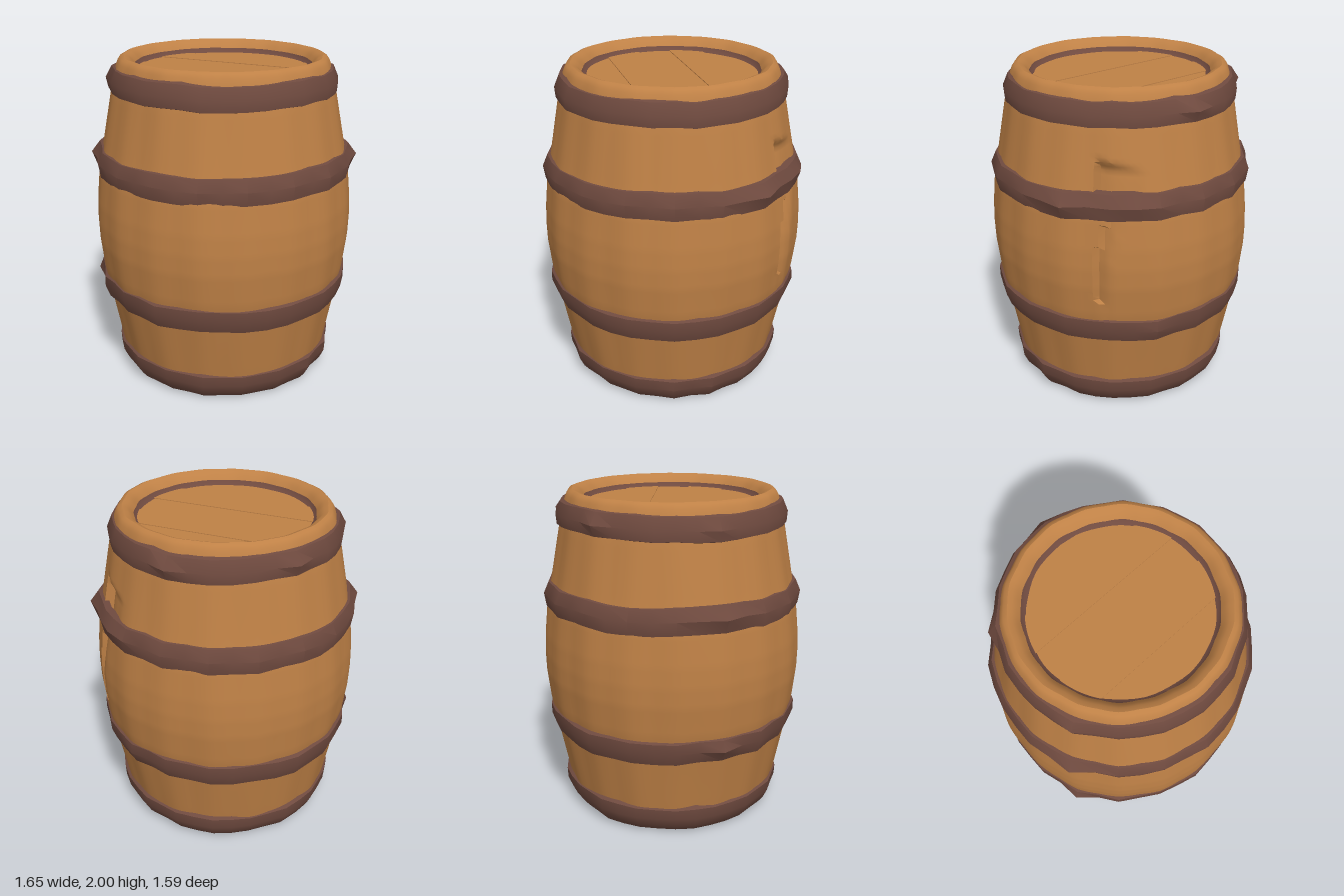
import * as THREE from 'three';
import { mergeVertices, toCreasedNormals } from 'three/addons/utils/BufferGeometryUtils.js';

const SIDES = 18;
const TAU = Math.PI * 2;

function makeRandom(seed) {
  return () => {
    seed = (seed * 16807) % 2147483647;
    return seed / 2147483647;
  };
}

// Insert extra points so a profile can be bent and dented smoothly
function subdivide(profile, step) {
  const pts = [];
  for (let i = 0; i < profile.length - 1; i++) {
    const a = new THREE.Vector2(...profile[i]);
    const b = new THREE.Vector2(...profile[i + 1]);
    const n = Math.max(1, Math.ceil(a.distanceTo(b) / step));
    for (let k = 0; k < n; k++) pts.push(a.clone().lerp(b, k / n));
  }
  pts.push(new THREE.Vector2(...profile[profile.length - 1]));
  return pts;
}

// Revolve a profile, reshape it with rule(phi, y, r) -> [r, y], then shade smoothly
function turned(points, segments, rule, crease = 0.7) {
  let g = new THREE.LatheGeometry(points, segments);
  const p = g.attributes.position;
  for (let i = 0; i < p.count; i++) {
    const phi = (Math.floor(i / points.length) % segments) / segments * TAU;
    const pt = points[i % points.length];
    const [r, y] = rule(phi, pt.y, pt.x);
    p.setXYZ(i, r * Math.sin(phi), y, r * Math.cos(phi));
  }
  g.deleteAttribute('uv');
  g.deleteAttribute('normal');
  g = mergeVertices(g, 1e-5);
  return toCreasedNormals(g, crease);
}

// Slightly flattened sides, like a ring of staves
function facet(phi) {
  const half = Math.PI / SIDES;
  const local = ((phi + half) % (2 * half)) - half;
  return 1 - 0.011 * (1 - Math.abs(local) / half);
}

// Depth of the split stave on the +x side
function splitDepth(phi, y) {
  const a = phi - Math.PI / 2;
  const wedge = (start, width, depth) => {
    const t = (a - start) / width;
    return t < 0 || t > 1 ? 0 : depth * (1 - t);
  };
  if (y > 1.4 && y < 1.63) {
    const k = Math.min(1, (1.63 - y) / 0.06);
    return wedge(0.25 + 0.1 * Math.abs(y - 1.5), 0.32 * k + 0.02, 0.055 * k);
  }
  if (y > 0.66 && y < 1.34) {
    const k = Math.min(1, (y - 0.66) / 0.4);
    const start = y > 1.05 ? 0.24 + (y - 1.05) * 0.3 : 0.24 + (1.05 - y) * 0.08;
    return wedge(start, 0.04 + 0.07 * k, 0.015 + 0.03 * k);
  }
  return 0;
}

export function createModel() {
  const wood = new THREE.MeshStandardMaterial({ color: 0xbf8146 });
  wood.name = 'warm wood';
  const band = new THREE.MeshStandardMaterial({ color: 0x6f4a3f });
  band.name = 'dark band';

  const barrel = new THREE.Group();
  barrel.name = 'barrel';
  const add = (name, geometry, material) => {
    const mesh = new THREE.Mesh(geometry, material);
    mesh.name = name;
    barrel.add(mesh);
    return mesh;
  };

  // Bulging stave body with the rounded top lip
  const bodyProfile = subdivide([
    [0.665, 0.12], [0.685, 0.22], [0.735, 0.48], [0.777, 0.7], [0.797, 0.88], [0.8, 1],
    [0.795, 1.12], [0.777, 1.3], [0.742, 1.48], [0.686, 1.78], [0.655, 1.92],
  ], 0.03).concat([
    [0.638, 1.965], [0.622, 1.988], [0.6, 1.997], [0.575, 1.988], [0.552, 1.968], [0.535, 1.945],
  ].map(([r, y]) => new THREE.Vector2(r, y)));
  add('staveBody', turned(bodyProfile, 144, (phi, y, r) => {
    const wave = 0.004 * Math.sin(phi * 5 + y * 3) * Math.sin(phi * 3 + 1);
    return [r * facet(phi) + wave - splitDepth(phi, y), y];
  }), wood);

  // Dented hoops: profile rows, then bumps as [angle, outward push]
  const hoops = [
    ['lowerHoop', [[0.72, 0.505], [0.755, 0.515], [0.783, 0.59], [0.783, 0.655], [0.755, 0.672]],
      [[-Math.PI / 2, 0.035], [2.3, 0.012]]],
    ['upperHoop', [[0.755, 1.292], [0.78, 1.3], [0.793, 1.38], [0.762, 1.45], [0.725, 1.458]],
      [[Math.PI / 2, 0.03], [-Math.PI / 2, 0.03], [2.09, 0.02]]],
    ['topHoop', [[0.67, 1.79], [0.693, 1.798], [0.698, 1.86], [0.668, 1.93], [0.635, 1.942]],
      [[2.62, 0.03], [-2.62, 0.025], [-1.57, 0.012]]],
  ];
  hoops.forEach(([name, profile, bumps], h) => {
    const random = makeRandom(101 + h * 37);
    const dents = Array.from({ length: 36 }, () => [(random() - 0.5) * 0.014, (random() - 0.5) * 0.014]);
    const last = profile.length - 1;
    const points = profile.map(([r, y]) => new THREE.Vector2(r, y));
    add(name, turned(points, 36, (phi, y, r) => {
      const [dr, dy] = dents[Math.round(phi / TAU * 36) % 36];
      let push = 0;
      for (const [angle, amount] of bumps) {
        const d = Math.abs(Math.atan2(Math.sin(phi - angle), Math.cos(phi - angle)));
        push += amount * Math.max(0, 1 - d / 0.2);
      }
      const middle = y === profile[2][1] ? 1 : 0.25;
      const edge = y === profile[0][1] || y === profile[last][1];
      return [r * facet(phi) + dr + (edge ? 0 : push * middle), y + dy];
    }, 0.6), band);
  });

  // Bottom hoop wraps under the barrel and covers the recessed base
  const baseRandom = makeRandom(511);
  const baseDents = Array.from({ length: 36 }, () => (baseRandom() - 0.5) * 0.016);
  const basePoints = [
    [0, 0.05], [0.5, 0.05], [0.53, 0.035], [0.565, 0.008], [0.6, 0], [0.632, 0.012],
    [0.662, 0.05], [0.69, 0.11], [0.694, 0.175], [0.668, 0.192],
  ].map(([r, y]) => new THREE.Vector2(r, y));
  add('bottomHoopAndBase', turned(basePoints, 36, (phi, y, r) => {
    const dent = baseDents[Math.round(phi / TAU * 36) % 36];
    return [r > 0.62 ? r * facet(phi) + dent : r, y > 0.17 ? y + dent * 0.5 : y];
  }, 0.6), band);

  // Dark inner ring where the lid meets the lip
  const ringPoints = [[0.54, 1.948], [0.526, 1.925], [0.505, 1.916]].map(([r, y]) => new THREE.Vector2(r, y));
  add('lidRing', turned(ringPoints, 72, (phi, y, r) =>
    [r + (r < 0.51 ? 0.006 * Math.sin(phi * 7) * Math.sin(phi * 4 + 1) : 0), y]), band);

  // Lid planks: strips of a disc at slightly different heights
  const lid = new THREE.Group();
  lid.name = 'lid';
  const R = 0.514;
  const cuts = [-R, -0.3, -0.08, 0.12, 0.32, R];
  for (let i = 0; i < 5; i++) {
    const outline = [];
    for (const side of [1, -1]) {
      for (let k = 0; k <= 12; k++) {
        const t = side > 0 ? k / 12 : 1 - k / 12;
        const v = THREE.MathUtils.lerp(cuts[i], cuts[i + 1], t);
        outline.push(new THREE.Vector2(side * Math.sqrt(Math.max(0, R * R - v * v)), v));
      }
    }
    const plank = new THREE.Mesh(
      new THREE.ExtrudeGeometry(new THREE.Shape(outline), { depth: 0.03, bevelEnabled: false }), wood);
    plank.name = 'lidPlank';
    plank.rotation.x = -Math.PI / 2;
    plank.position.y = 1.888 + (i % 2) * 0.004;
    lid.add(plank);
  }
  lid.rotation.y = -0.45;
  barrel.add(lid);

  return barrel;
}
